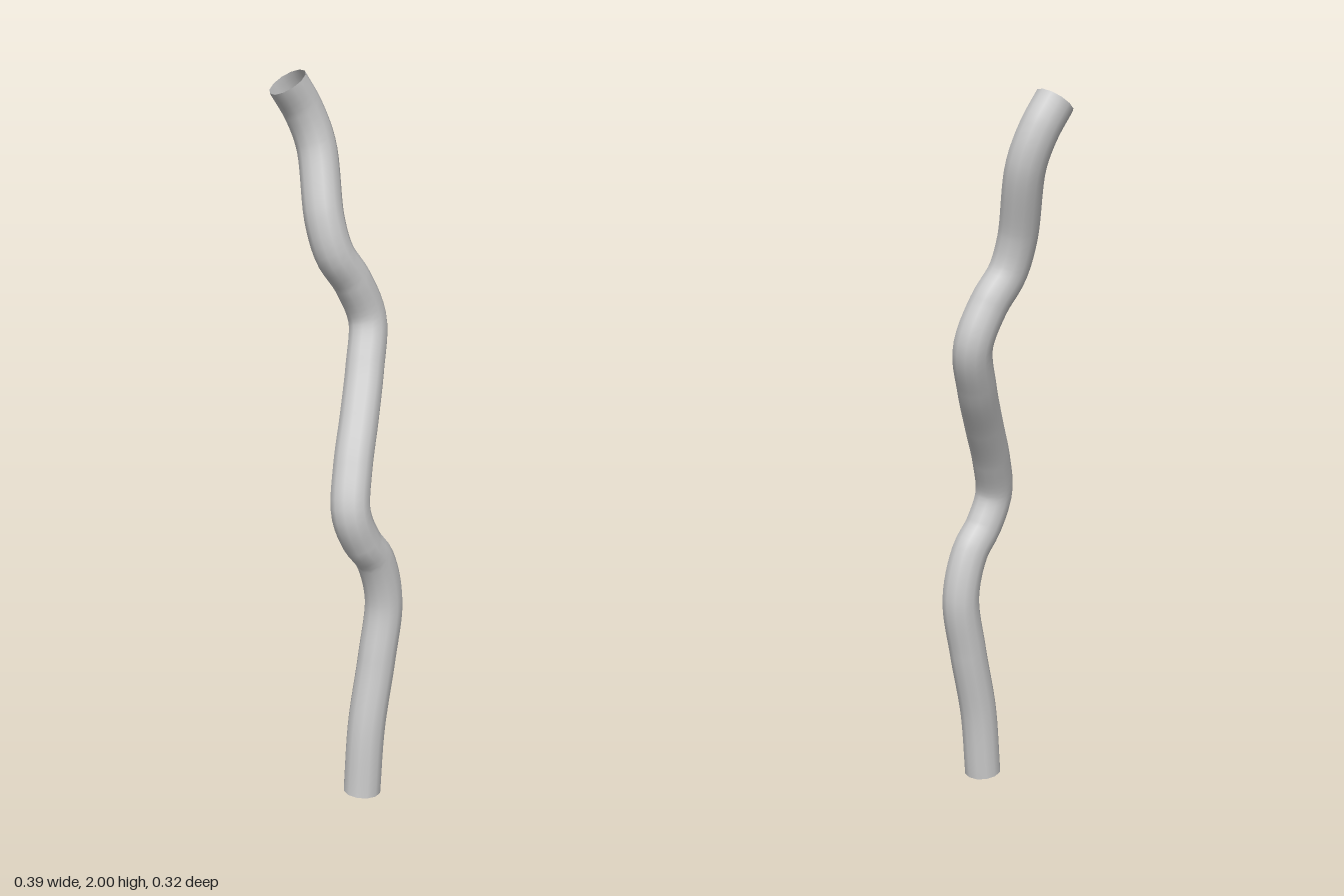
import * as THREE from 'three';

export function createModel() {
  const group = new THREE.Group();
  group.name = 'bentTube';

  // Centre line of the winding tube, bottom to top
  const path = new THREE.CatmullRomCurve3([
    [0.138, 0, 0.063],
    [0.138, 0.2, 0.046],
    [0.138, 0.4, 0.006],
    [0.138, 0.57, -0.02],
    [0.138, 0.7, 0.015],
    [0.138, 0.77, 0.069],
    [0.133, 0.86, 0.105],
    [0.105, 0.97, 0.07],
    [0.065, 1.09, 0.005],
    [0.02, 1.21, -0.062],
    [-0.012, 1.33, -0.104],
    [-0.024, 1.44, -0.058],
    [-0.036, 1.52, -0.002],
    [-0.057, 1.61, 0.014],
    [-0.112, 1.8, -0.009],
    [-0.133, 1.89, 0.016],
    [-0.142, 1.963, 0.064],
  ].map((p) => new THREE.Vector3(...p)), false, 'centripetal');

  // Hollow tube, open at both ends
  const tube = new THREE.Mesh(
    new THREE.TubeGeometry(path, 96, 0.054, 12, false),
    new THREE.MeshStandardMaterial({ color: 0xcccccc, side: THREE.DoubleSide })
  );
  tube.name = 'tube';
  group.add(tube);
  return group;
}
